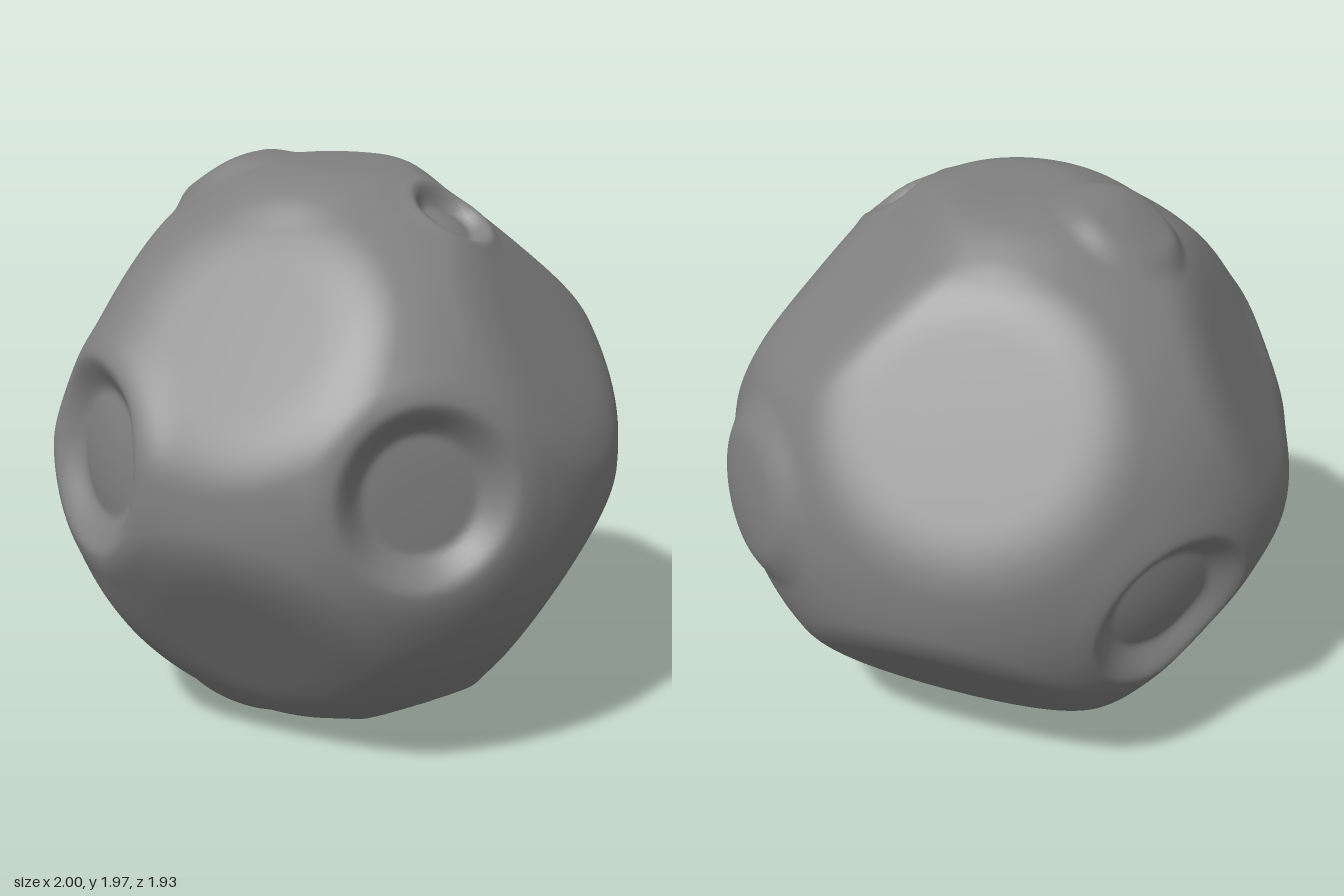
import * as THREE from 'three';
import { mergeVertices } from 'three/addons/utils/BufferGeometryUtils.js';

const RADIUS = 0.98;
const dir = (x, y, z) => new THREE.Vector3(x, y, z).normalize();
const plane = ([x, y, z, d]) => ({ n: dir(x, y, z), d });

// Flattened sides: plane normal and distance from the centre
const flats = [
  [0.56, 0.48, 0.52, 0.89],
  [-0.5, 0.53, 0.5, 0.885],
  [-0.52, -0.49, 0.52, 0.885],
  [0.64, -0.48, 0.42, 0.91],
  [0.4, 0.48, -0.67, 0.868],
  [0.41, -0.63, -0.48, 0.87],
  [-0.7, 0.4, -0.42, 0.88],
  [-0.55, -0.55, -0.5, 0.9],
  [0.62, 0.78, 0.03, 0.915],
  [-0.03, 0.05, 1, 0.945],
].map(plane);

// Level caps that trim the top and bottom
const caps = [
  [0.04, 1, 0, 0.983],
  [-0.1, -1, 0, 0.972],
].map(plane);

// Round dents: centre direction, rim radius, depth, rim height
const craters = [
  [-0.025, 0.075, 0.93, 0.31, 0.085, 0.006],
  [-0.93, 0.09, 0.18, 0.33, 0.09, 0.01],
  [-0.23, -0.21, -0.9, 0.31, 0.09, 0.003],
  [0.285, 0.88, 0.375, 0.145, 0.055, 0.005],
  [0.14, -0.82, 0.42, 0.19, 0.045, 0.006],
].map(([x, y, z, r, depth, rim]) => ({ n: dir(x, y, z), r, depth, rim }));

// Low raised discs: centre direction, radius, height
const bumps = [
  [0.95, 0.06, -0.12, 0.28, 0.035],
  [-0.05, 0.97, -0.03, 0.4, 0.025],
  [-0.29, 0.9, -0.27, 0.2, 0.035],
  [-0.35, -0.9, -0.05, 0.23, 0.025],
].map(([x, y, z, r, h]) => ({ n: dir(x, y, z), r, h }));

// Smooth minimum, rounds the borders of the flats
function softMin(a, b, k) {
  const h = Math.max(k - Math.abs(a - b), 0) / k;
  return Math.min(a, b) - h * h * k * 0.25;
}

function trim(r, v, planes, softness) {
  for (const { n, d } of planes) {
    const c = v.dot(n);
    if (c > 0.3) r = softMin(r, d / c, softness);
  }
  return r;
}

function surfaceRadius(v) {
  let r = trim(RADIUS, v, flats, 0.06);
  for (const { n, r: size, h } of bumps) {
    const t = v.distanceTo(n) * RADIUS / size;
    r += h * (1 - THREE.MathUtils.smoothstep(t, 0.7, 1.25));
  }
  r = trim(r, v, caps, 0.02);
  for (const { n, r: size, depth, rim } of craters) {
    const t = v.distanceTo(n) * RADIUS / size;
    r -= depth * (1 - THREE.MathUtils.smoothstep(t, 0.68, 1.02));
    r += rim * Math.exp(-(((t - 1.1) / 0.22) ** 2));
  }
  return r;
}

export function createModel() {
  const group = new THREE.Group();
  group.name = 'boulder';

  // Fine sphere, welded so the shading is smooth
  let geometry = new THREE.IcosahedronGeometry(1, 70);
  geometry.deleteAttribute('uv');
  geometry.deleteAttribute('normal');
  geometry = mergeVertices(geometry, 1e-5);

  const pos = geometry.attributes.position;
  const v = new THREE.Vector3();
  for (let i = 0; i < pos.count; i++) {
    v.fromBufferAttribute(pos, i).normalize();
    v.multiplyScalar(surfaceRadius(v));
    pos.setXYZ(i, v.x, v.y, v.z);
  }

  // Centre on x and z and stand on the ground
  geometry.computeBoundingBox();
  const box = geometry.boundingBox;
  const centre = box.getCenter(new THREE.Vector3());
  geometry.translate(-centre.x, -box.min.y, -centre.z);
  geometry.computeVertexNormals();

  const rock = new THREE.Mesh(geometry, new THREE.MeshStandardMaterial({ color: 0x808080 }));
  rock.name = 'crateredRock';
  group.add(rock);
  return group;
}
